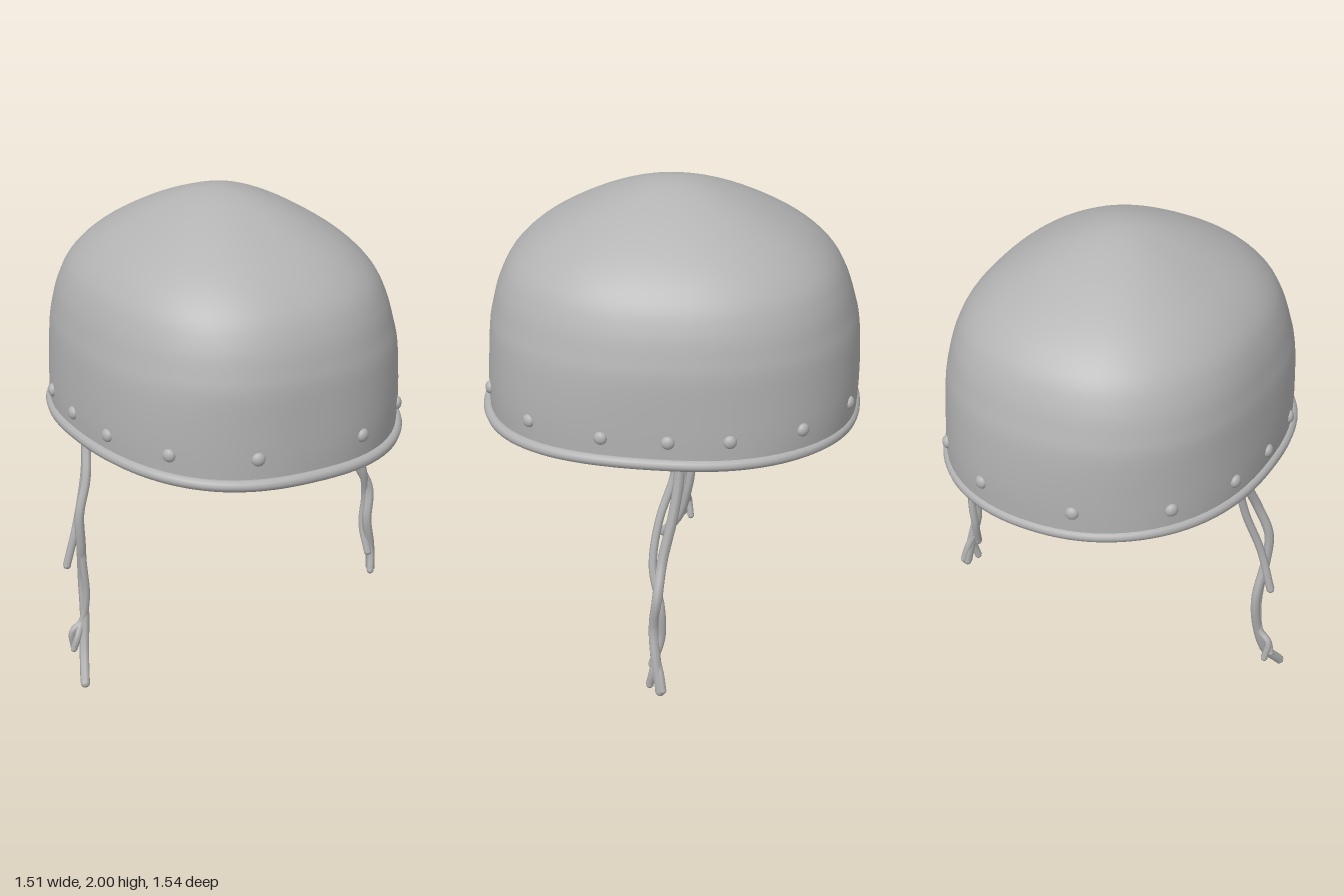
import * as THREE from 'three';
import { mergeVertices } from 'three/addons/utils/BufferGeometryUtils.js';

const CX = -0.035, CZ = -0.005, RX = 0.655, RZ = 0.75, RIM_Y = 1.07;

// Slightly squared oval footprint: point at angle t, scaled by s
function oval(t, s, y) {
  const c = Math.cos(t), d = Math.sin(t), n = 2.3;
  const f = s / Math.pow(Math.abs(c) ** n + Math.abs(d) ** n, 1 / n);
  return new THREE.Vector3(CX + RX * f * c, y, CZ + RZ * f * d);
}

// Smooth curve through a few [x, y, z] points
const curveOf = (pts, closed = false) =>
  new THREE.CatmullRomCurve3(pts.map((p) => new THREE.Vector3(...p)), closed);

export function createModel() {
  const helmet = new THREE.Group();
  helmet.name = 'helmet';
  const grey = new THREE.MeshStandardMaterial({ color: 0xb3b3b3, side: THREE.DoubleSide });
  grey.name = 'grey';

  function add(name, geometry, parent = helmet) {
    const mesh = new THREE.Mesh(geometry, grey);
    mesh.name = name;
    parent.add(mesh);
    return mesh;
  }

  // Dome: inner wall down, outer wall up, turned and then pushed to the oval
  const outline = new THREE.SplineCurve([
    [0.995, 1.06], [1, 1.2], [0.99, 1.4], [0.965, 1.5], [0.925, 1.6], [0.85, 1.7],
    [0.7, 1.8], [0.465, 1.9], [0.25, 1.966], [0.1, 1.994], [0, 2],
  ].map((p) => new THREE.Vector2(...p))).getPoints(44);
  outline[outline.length - 1].x = 0;
  const inner = outline.map((p) => new THREE.Vector2(p.x * 0.95, 1.06 + (p.y - 1.06) * 0.96));
  let dome = new THREE.LatheGeometry([...inner.reverse(), ...outline], 80);
  const pos = dome.attributes.position;
  for (let i = 0; i < pos.count; i++) {
    const x = pos.getX(i), y = pos.getY(i), z = pos.getZ(i);
    const t = Math.atan2(z, x), r = Math.hypot(x, z);
    // Faint hammered unevenness, fading toward the top
    const k = 1 + 0.006 * r * Math.sin(3 * t + 5 * y) * Math.sin(6 * (y - 1.1));
    const p = oval(t, r * k, y);
    pos.setXYZ(i, p.x, p.y, p.z);
  }
  dome.deleteAttribute('normal');
  dome.deleteAttribute('uv');
  dome = mergeVertices(dome, 1e-5);
  dome.computeVertexNormals();
  add('dome', dome);

  // Rolled rim, gently wavy and tighter to the shell at the back
  const rimPoints = [];
  for (let i = 0; i < 48; i++) {
    const t = (i / 48) * Math.PI * 2;
    const y = RIM_Y + 0.01 * Math.cos(2 * t) - 0.006 * Math.cos(t) + 0.003 * Math.sin(5 * t);
    rimPoints.push(oval(t, 0.992 + 0.01 * Math.sin(t), y).toArray());
  }
  add('rim', new THREE.TubeGeometry(curveOf(rimPoints, true), 120, 0.024, 10, true));

  // Rivets around the band
  const rivets = new THREE.Group();
  rivets.name = 'rivets';
  helmet.add(rivets);
  const spots = [
    [0.19, 0.72], [0.48, 0.52], [0.6, 0.22], [0.62, -0.04], [0.6, -0.28], [0.46, -0.55], [0.2, -0.72],
    [-0.2, -0.72], [-0.53, -0.55], [-0.67, -0.27], [-0.69, -0.02], [-0.67, 0.24], [-0.54, 0.51], [-0.27, 0.71],
  ];
  const head = new THREE.SphereGeometry(0.027, 14, 10);
  for (const [x, z] of spots) {
    const t = Math.atan2((z - CZ) / RZ, (x - CX) / RX);
    const rivet = add('rivet', head, rivets);
    rivet.position.copy(oval(t, 1, 1.17));
    const a = oval(t - 0.02, 1, 0), b = oval(t + 0.02, 1, 0);
    rivet.rotation.y = Math.atan2(b.z - a.z, -(b.x - a.x)) + Math.PI / 2;
    rivet.rotation.y = Math.atan2(b.z - a.z, a.x - b.x);
    rivet.scale.z = 0.7;
  }

  // Leather ties: thin strands hanging from inside the shell, frayed at the ends
  const ties = {
    leftTie: [
      [0.021, [0.56, 1.13, -0.07], [0.57, 1.02, -0.08], [0.6, 0.85, -0.06], [0.64, 0.66, -0.02],
        [0.7, 0.52, -0.005], [0.685, 0.38, 0.01], [0.71, 0.25, 0], [0.73, 0.12, -0.02]],
      [0.017, [0.56, 1.13, -0.07], [0.55, 1.0, -0.06], [0.6, 0.82, -0.005], [0.65, 0.64, 0.015],
        [0.69, 0.48, -0.02], [0.68, 0.34, -0.02], [0.69, 0.22, 0.015]],
      [0.016, [0.7, 0.27, 0], [0.71, 0.2, 0.01], [0.7, 0.13, 0.025]],
      [0.016, [0.7, 0.26, 0], [0.725, 0.19, -0.02], [0.74, 0.13, -0.03]],
    ],
    rightTie: [
      [0.02, [-0.62, 1.13, -0.07], [-0.62, 1.02, -0.06], [-0.65, 0.88, -0.005], [-0.695, 0.74, 0.02],
        [-0.69, 0.6, 0.015], [-0.67, 0.42, -0.025], [-0.675, 0.26, -0.005], [-0.7, 0.12, 0.035], [-0.735, 0.02, 0.11]],
      [0.017, [-0.62, 1.13, -0.07], [-0.61, 1.0, -0.09], [-0.625, 0.88, -0.07], [-0.685, 0.68, -0.03], [-0.735, 0.5, -0.03]],
      [0.015, [-0.69, 0.62, 0.01], [-0.68, 0.5, 0.01], [-0.67, 0.35, 0.005], [-0.69, 0.24, -0.005],
        [-0.73, 0.2, -0.01], [-0.72, 0.12, -0.02]],
      [0.014, [-0.69, 0.24, -0.005], [-0.72, 0.18, 0.015], [-0.735, 0.13, 0.01]],
    ],
  };
  for (const [name, strands] of Object.entries(ties)) {
    const tie = new THREE.Group();
    tie.name = name;
    helmet.add(tie);
    for (const [radius, ...pts] of strands) {
      const curve = curveOf(pts);
      add('strand', new THREE.TubeGeometry(curve, 40, radius, 7), tie);
      // Small caps close both ends
      for (const p of [pts[0], pts[pts.length - 1]]) {
        add('strandEnd', new THREE.SphereGeometry(radius, 8, 6), tie).position.set(...p);
      }
    }
  }
  return helmet;
}
